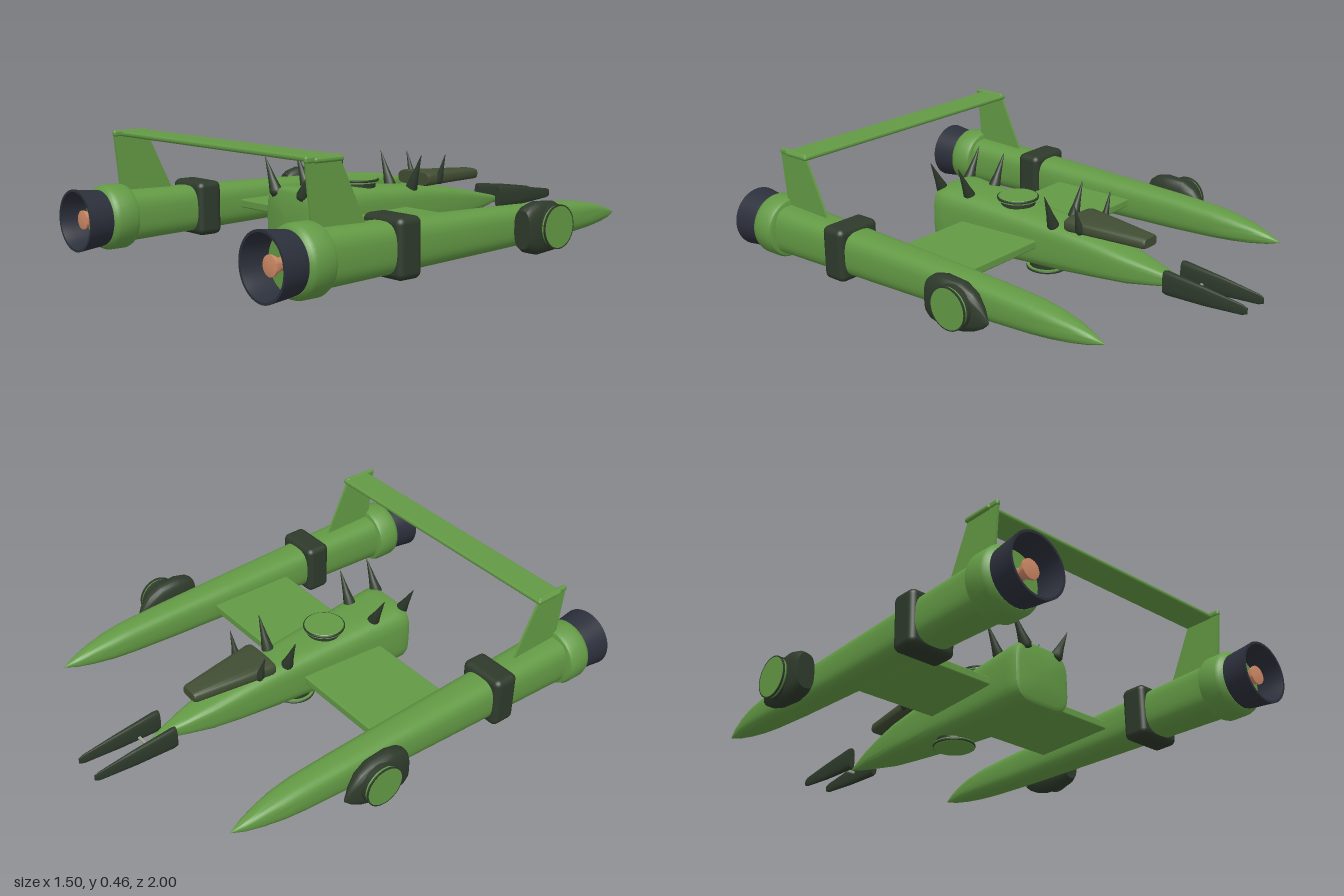
import * as THREE from 'three';
import { toCreasedNormals } from 'three/addons/utils/BufferGeometryUtils.js';
import { RoundedBoxGeometry } from 'three/addons/geometries/RoundedBoxGeometry.js';

const mat = (color, side = THREE.FrontSide) => new THREE.MeshStandardMaterial({ color, side });
const GREEN = mat(0x639a45), DARK = mat(0x2e3a2b), OLIVE = mat(0x414d33);
const NOZZLE = mat(0x2c303b, THREE.DoubleSide), COPPER = mat(0xd08a66), GREY = mat(0x9aa48f);

function add(parent, name, geometry, material, x = 0, y = 0, z = 0) {
  const mesh = new THREE.Mesh(geometry, material);
  mesh.name = name;
  mesh.position.set(x, y, z);
  parent.add(mesh);
  return mesh;
}

// Skin through squarish rings; stations are [z, centreX, centreY, halfWidth, halfHeight], z ascending
function loft(stations, power = 3.5, segs = 32, crease = 0.6) {
  const first = stations[0], last = stations[stations.length - 1];
  const rings = [[...first.slice(0, 3), 0, 0], ...stations, [...last.slice(0, 3), 0, 0]];
  const pos = [], index = [];
  const bend = v => Math.sign(v) * Math.pow(Math.abs(v), 2 / power);
  for (const [z, cx, cy, rx, ry] of rings) {
    for (let j = 0; j < segs; j++) {
      const a = (j / segs) * Math.PI * 2;
      pos.push(cx + rx * bend(Math.cos(a)), cy + ry * bend(Math.sin(a)), z);
    }
  }
  for (let i = 0; i < rings.length - 1; i++) {
    for (let j = 0; j < segs; j++) {
      const k = (j + 1) % segs;
      const a = i * segs + j, b = i * segs + k, c = a + segs, d = b + segs;
      if (i > 0) index.push(a, b, c);
      if (i < rings.length - 2) index.push(b, d, c);
      if (i === 0) index.push(a, d, c);
      if (i === rings.length - 2) index.push(a, b, c);
    }
  }
  const g = new THREE.BufferGeometry();
  g.setAttribute('position', new THREE.Float32BufferAttribute(pos, 3));
  g.setIndex(index);
  return toCreasedNormals(g, crease);
}

// Turned part whose axis runs along +z; points are [radius, z]
function turned(points, segs = 40) {
  const g = new THREE.LatheGeometry(points.map(p => new THREE.Vector2(p[0], p[1])), segs);
  return toCreasedNormals(g.rotateX(Math.PI / 2), 0.6);
}

function addEngine(root, s) {
  const engine = new THREE.Group();
  engine.name = s > 0 ? 'leftEngine' : 'rightEngine';
  engine.position.set(s * 0.575, 0.133, 0);
  root.add(engine);

  add(engine, 'nacelle', loft([
    [-0.77, 0, -0.02, 0.002, 0.002], [-0.72, 0, -0.017, 0.02, 0.02], [-0.65, 0, -0.012, 0.037, 0.037],
    [-0.57, 0, -0.008, 0.051, 0.05], [-0.48, 0, -0.005, 0.058, 0.06], [-0.3, 0, -0.004, 0.062, 0.07],
    [0, 0, -0.003, 0.069, 0.079], [0.8, 0, 0, 0.09, 0.099],
  ], 3), GREEN);
  add(engine, 'clampBand', new RoundedBoxGeometry(0.195, 0.215, 0.108, 4, 0.025), DARK, 0, 0, 0.448);
  add(engine, 'engineRing', turned([
    [0, 0.785], [0.105, 0.785], [0.118, 0.79], [0.125, 0.805], [0.125, 0.87], [0.12, 0.885], [0.108, 0.895], [0, 0.895],
  ]), GREEN);

  // Open exhaust with a flared plug inside
  add(engine, 'exhaustNozzle', turned([
    [0.106, 0.89], [0.11, 0.92], [0.114, 0.96], [0.119, 1.0], [0.11, 1.0], [0.103, 0.96], [0.1, 0.89],
  ]), NOZZLE);
  add(engine, 'exhaustPlug', turned([
    [0.022, 0.89], [0.022, 0.935], [0.036, 0.96], [0.036, 0.968], [0, 0.975],
  ], 24), COPPER);

  // Side pod with round cover facing outwards
  const x = s * 0.11;
  add(engine, 'sidePod', loft([
    [-0.36, x, -0.03, 0.002, 0.008], [-0.335, x, -0.018, 0.018, 0.042], [-0.3, x, -0.006, 0.032, 0.072],
    [-0.25, x, 0, 0.041, 0.092], [-0.16, x, 0, 0.045, 0.098], [-0.11, x, 0, 0.042, 0.085], [-0.09, x, 0, 0.036, 0.07],
  ], 2.8), DARK);
  const cover = new THREE.Group();
  cover.name = 'podCover';
  cover.position.set(s * 0.11, 0.004, -0.225);
  cover.rotation.y = s * Math.PI / 2;
  engine.add(cover);
  add(cover, 'coverRim', turned([
    [0, 0], [0.082, 0], [0.082, 0.045], [0.074, 0.048], [0.074, 0.054], [0.082, 0.056], [0.082, 0.062], [0.076, 0.062],
  ]), DARK);
  add(cover, 'coverDisc', turned([[0.078, 0.045], [0.077, 0.0625], [0, 0.0625]]), GREEN);

  // Swept fin carrying the rear beam
  const fin = new THREE.Shape([[0.57, 0.085], [0.8, 0.085], [0.825, 0.325], [0.685, 0.325]]
    .map(p => new THREE.Vector2(-p[0], p[1])));
  const finGeo = new THREE.ExtrudeGeometry(fin, { depth: 0.01, bevelEnabled: false });
  finGeo.translate(0, 0, -0.005).rotateY(Math.PI / 2);
  add(engine, 'tailFin', finGeo, GREEN);
  add(engine, 'finCap', new RoundedBoxGeometry(0.022, 0.024, 0.15, 3, 0.009), GREEN, 0, 0.318, 0.752).scale.x = 0.8;
}

export function createModel() {
  const root = new THREE.Group();
  root.name = 'spacecraft';

  // Central hull, nose towards -z
  add(root, 'fuselage', loft([
    [-0.73, 0, 0.11, 0.002, 0.002], [-0.67, 0, 0.112, 0.02, 0.018], [-0.58, 0, 0.115, 0.044, 0.036],
    [-0.48, 0, 0.118, 0.064, 0.056], [-0.36, 0, 0.125, 0.08, 0.073], [-0.2, 0, 0.129, 0.092, 0.091],
    [0, 0, 0.132, 0.105, 0.104], [0.2, 0, 0.134, 0.12, 0.117], [0.38, 0, 0.136, 0.135, 0.127],
    [0.415, 0, 0.136, 0.137, 0.127], [0.432, 0, 0.137, 0.131, 0.121], [0.44, 0, 0.138, 0.118, 0.108],
  ], 3.8, 40), GREEN);
  add(root, 'canopy', loft([
    [-0.55, 0, 0.236, 0.038, 0.018], [-0.54, 0, 0.236, 0.043, 0.022], [-0.36, 0, 0.241, 0.071, 0.026],
    [-0.225, 0, 0.244, 0.09, 0.03], [-0.21, 0, 0.244, 0.086, 0.026],
  ], 4, 32), OLIVE);

  // Wing between the engines and beam across the fins
  add(root, 'wing', new RoundedBoxGeometry(1.08, 0.034, 0.366, 2, 0.006), GREEN, 0, 0.134, 0.102);
  add(root, 'rearBeam', new RoundedBoxGeometry(1.18, 0.02, 0.124, 3, 0.009), GREEN, 0, 0.448, 0.73);

  // Round hatches above and below
  const hatch = [[0, 0], [0.081, 0], [0.081, 0.012], [0.076, 0.016], [0, 0.016]];
  const top = add(root, 'topHatch', turned(hatch), GREEN, 0, 0.257, 0.092);
  top.rotation.x = -Math.PI / 2;
  add(root, 'topHatchRim', new THREE.TorusGeometry(0.079, 0.005, 8, 40), DARK, 0, 0.266, 0.092).rotation.x = Math.PI / 2;
  add(root, 'topHatchNeck', new THREE.CylinderGeometry(0.07, 0.07, 0.04, 32), DARK, 0, 0.24, 0.092);
  const bottom = add(root, 'bottomHatch', turned(hatch), GREEN, 0, 0.02, -0.06);
  bottom.rotation.x = Math.PI / 2;
  add(root, 'bottomHatchRim', new THREE.TorusGeometry(0.079, 0.005, 8, 40), DARK, 0, 0.012, -0.06).rotation.x = Math.PI / 2;
  add(root, 'bottomHatchNeck', new THREE.CylinderGeometry(0.07, 0.07, 0.04, 32), DARK, 0, 0.036, -0.06);

  add(root, 'noseBar', new THREE.BoxGeometry(0.06, 0.01, 0.01), GREY, 0, 0.115, -0.76);

  // Spikes lean outwards: [z, base x, base y, tip x, tip y, radius]
  const spikes = [
    [0.43, 0.075, 0.235, 0.145, 0.37, 0.025], [0.285, 0.07, 0.235, 0.138, 0.373, 0.025],
    [-0.14, 0.06, 0.21, 0.118, 0.352, 0.024], [-0.28, 0.075, 0.23, 0.112, 0.343, 0.017],
  ];
  for (const s of [1, -1]) {
    addEngine(root, s);
    // Flat forward prongs
    add(root, 'noseProng', loft([
      [-1, s * 0.056, 0.113, 0.002, 0.012], [-0.98, s * 0.057, 0.113, 0.005, 0.02],
      [-0.83, s * 0.058, 0.119, 0.011, 0.036], [-0.67, s * 0.059, 0.127, 0.016, 0.047],
      [-0.655, s * 0.059, 0.128, 0.015, 0.044],
    ], 3, 24), DARK);
    for (const [z, bx, by, tx, ty, r] of spikes) {
      const dir = new THREE.Vector3(s * (tx - bx), ty - by, 0);
      const h = dir.length();
      const g = new THREE.LatheGeometry([[0, -0.01], [r * 0.8, -0.005], [r, 0.012], [r * 0.6, h * 0.4], [0.001, h]]
        .map(p => new THREE.Vector2(p[0], p[1])), 12);
      const spike = add(root, 'spike', g, DARK, s * bx, by, z);
      spike.quaternion.setFromUnitVectors(new THREE.Vector3(0, 1, 0), dir.normalize());
    }
  }
  return root;
}
